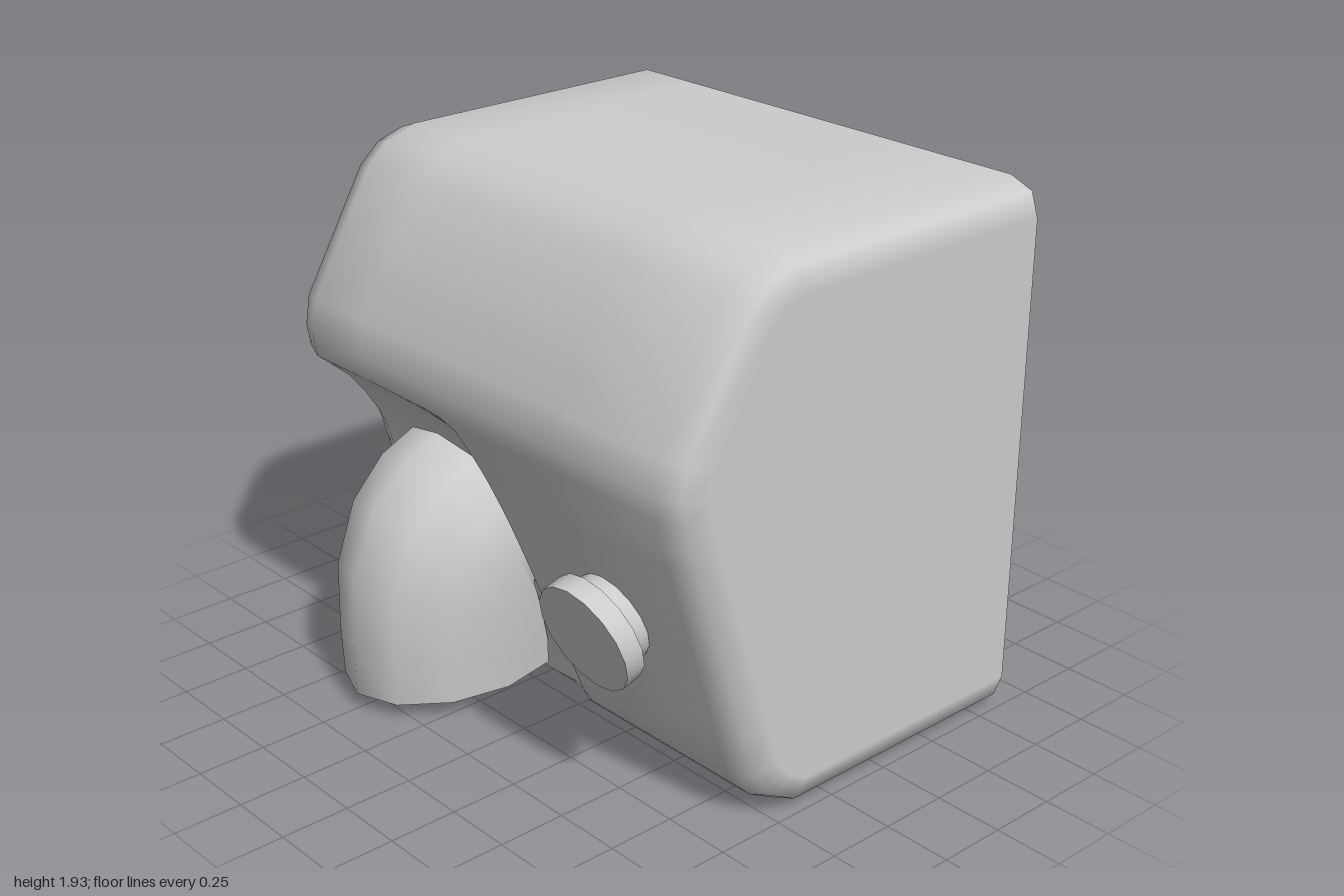
import * as THREE from 'three';
import { toCreasedNormals } from 'three/addons/utils/BufferGeometryUtils.js';

const material = new THREE.MeshStandardMaterial({ color: 0xcccccc });
const BACK = -0.86;
const WALL = 0.12;

// Side profile from top back, round the front, to bottom back:
// [z, y, x of the recess edge, z of the recess floor]
const ROWS = [
  [BACK, 1.935, -0.2, BACK], [0.23, 1.935, -0.2, 0.23], [0.34, 1.9, -0.2, 0.34],
  [0.43, 1.82, -0.2, 0.43], [0.68, 1.39, -0.2, 0.68], [0.7, 1.27, -0.2, 0.7],
  [0.685, 1.185, -0.2, 0.685], [0.675, 1.15, -0.11, 0.642], [0.66, 1.08, -0.04, 0.56],
  [0.634, 1.0, 0, 0.495], [0.602, 0.9, 0.035, 0.43], [0.58, 0.83, 0.055, 0.4],
  [0.537, 0.7, 0.08, 0.363], [0.489, 0.55, 0.105, 0.32], [0.428, 0.36, 0.137, 0.264],
  [0.37, 0.18, 0.17, 0.212], [0.32, 0.11, 0.155, 0.192], [0.27, 0.06, 0.08, 0.177],
  [0.16, 0, -0.05, 0.16], [BACK, 0, -0.05, BACK],
];

// Mitred outward normal of the profile at row i
function profileNormal(i) {
  const n = (a, b) => new THREE.Vector2(a[1] - b[1], b[0] - a[0]).normalize();
  const last = ROWS.length - 1;
  const n1 = n(ROWS[Math.max(i - 1, 0)], ROWS[Math.max(i, 1)]);
  const n2 = n(ROWS[Math.min(i, last - 1)], ROWS[Math.min(i + 1, last)]);
  return n1.clone().add(n2).divideScalar(1 + n1.dot(n2));
}

// Columns across the body: [x, share of the recess depth, inset].
// The ends are rounded; the cavity is one wall thickness further in.
function columns(e, inner) {
  const [ends, base] = inner
    ? [[[0.88, 0.08], [0.85, 0.025], [0.78, 0]], WALL]
    : [[[1, 0.12], [0.97, 0.035], [0.88, 0]], 0];
  const middle = [[-0.6, 1], [e - 0.36, 1], [e - 0.26, 0.96], [e - 0.17, 0.83], [e - 0.09, 0.6],
    [e - 0.04, 0.36], [e, 0], [0.4, 0]];
  return [
    ...ends.map(([x, d]) => [-x, 1, base + d]),
    ...middle.map(([x, share]) => [x, share, base]),
    ...ends.map(([x, d]) => [x, 0, base + d]).reverse(),
  ];
}

function shellPoints(inner) {
  return ROWS.map(([z, y, edge, floor], i) => {
    const n = profileNormal(i);
    return columns(edge, inner).map(([x, share, inset]) => {
      // the cavity corners run out to sharp ones at the rim
      const d = inner && z === BACK ? WALL : inset;
      const pz = z - n.x * d;
      const rz = Math.min(pz, floor - n.x * (inner ? d - 0.09 : d));
      return new THREE.Vector3(x, y - n.y * d, pz + (rz - pz) * share);
    });
  });
}

// Surface through a grid of points
function gridGeometry(grid, flip = false) {
  const w = grid[0].length, index = [];
  for (let i = 0; i < grid.length - 1; i++) {
    for (let j = 0; j < w - 1; j++) {
      const a = i * w + j, b = a + 1, c = a + w, d = c + 1;
      index.push(...(flip ? [a, b, c, b, d, c] : [a, c, b, b, c, d]));
    }
  }
  const g = new THREE.BufferGeometry().setFromPoints(grid.flat());
  g.setIndex(index);
  return toCreasedNormals(g, 0.92);
}

// Shell whose shading runs smoothly into its flat end walls
function shellGeometry(grid, inner) {
  const g = gridGeometry(grid, inner);
  const { position, normal } = g.attributes;
  const end = grid[0][0].x;
  for (let i = 0; i < position.count; i++) {
    const x = position.getX(i);
    if (Math.abs(x) > -end - 0.001) normal.setXYZ(i, Math.sign(x) * (inner ? -1 : 1), 0, 0);
  }
  return g;
}

// Flat end wall through one column, facing +x or -x
function sideGeometry(grid, j, facing) {
  const pts = grid.map(row => new THREE.Vector2(-facing * row[j].z, row[j].y));
  return new THREE.ShapeGeometry(new THREE.Shape(pts))
    .rotateY(facing * Math.PI / 2).translate(grid[0][j].x, 0, 0);
}

function add(parent, name, geometry) {
  const mesh = new THREE.Mesh(geometry, material);
  mesh.name = name;
  parent.add(mesh);
  return mesh;
}

function makeHousing() {
  const group = new THREE.Group();
  group.name = 'housing';
  const outer = shellPoints(false), inner = shellPoints(true);
  const last = outer[0].length - 1;
  add(group, 'housingShell', shellGeometry(outer, false));
  add(group, 'leftSide', sideGeometry(outer, last, 1));
  add(group, 'rightSide', sideGeometry(outer, 0, -1));
  add(group, 'cavityShell', shellGeometry(inner, true));
  add(group, 'cavityLeftSide', sideGeometry(inner, last, -1));
  add(group, 'cavityRightSide', sideGeometry(inner, 0, 1));

  // Rim around the open back
  const outline = grid => [...grid[0], ...[...grid[grid.length - 1]].reverse()]
    .map(p => new THREE.Vector2(-p.x, p.y));
  const rim = new THREE.Shape(outline(outer));
  rim.holes.push(new THREE.Path(outline(inner)));
  add(group, 'backRim', new THREE.ShapeGeometry(rim).rotateY(Math.PI).translate(0, 0, BACK));
  return group;
}

// Depth of the recess floor at height y
function recessFloor(y) {
  const i = ROWS.findIndex(row => row[1] <= y);
  const a = ROWS[i - 1], b = ROWS[i];
  return THREE.MathUtils.mapLinear(y, a[1], b[1], a[3], b[3]);
}

// Bent, hollow air outlet that opens downwards
function makeNozzle() {
  const group = new THREE.Group();
  group.name = 'nozzle';
  // Each ring: [front z, front y, rear z, rear y, half width]
  const rings = [
    [0.855, 0.06, -0.01, 0.06, 0.315], [0.86, 0.25, 0, 0.13, 0.328], [0.845, 0.51, 0.05, 0.2, 0.345],
    [0.75, 0.74, 0.12, 0.25, 0.357], [0.6, 0.885, 0.2, 0.28, 0.365], [0.42, 0.955, 0.25, 0.3, 0.365],
  ];
  const sides = 12;
  const points = (scale, offset) => rings.map(([fz, fy, rz, ry, half]) => {
    const row = [];
    for (let k = 0; k <= sides; k++) {
      const a = (k / sides) * Math.PI * 2, c = Math.cos(a) * scale;
      const y = (fy + ry) / 2 + (fy - ry) / 2 * c;
      const z = (fz + rz) / 2 + (fz - rz) / 2 * c;
      // the rear is cut off by the recess floor
      row.push(new THREE.Vector3(-0.495 + Math.sin(a) * half * scale, y,
        Math.max(z, recessFloor(y) + offset)));
    }
    return row;
  });
  const outer = points(1, -0.01), inner = points(0.9, 0.01);
  add(group, 'nozzleOutside', gridGeometry(outer, true));
  add(group, 'nozzleInside', gridGeometry(inner));
  add(group, 'nozzleLip', gridGeometry([outer[0], inner[0]]));
  return group;
}

// Push button, square to the sloping front
function makeButton() {
  const group = new THREE.Group();
  group.name = 'button';
  const cylinder = (r, h) => toCreasedNormals(new THREE.CylinderGeometry(r, r, h, 16), 0.6);
  add(group, 'buttonCap', cylinder(0.203, 0.075)).position.y = -0.0375;
  add(group, 'buttonNeck', cylinder(0.16, 0.1)).position.y = -0.115;
  group.position.set(0.51, 0.627, 0.66);
  group.rotation.x = Math.PI / 2 + 0.31;
  return group;
}

export function createModel() {
  const model = new THREE.Group();
  model.name = 'handDryer';
  model.add(makeHousing(), makeNozzle(), makeButton());
  return model;
}
